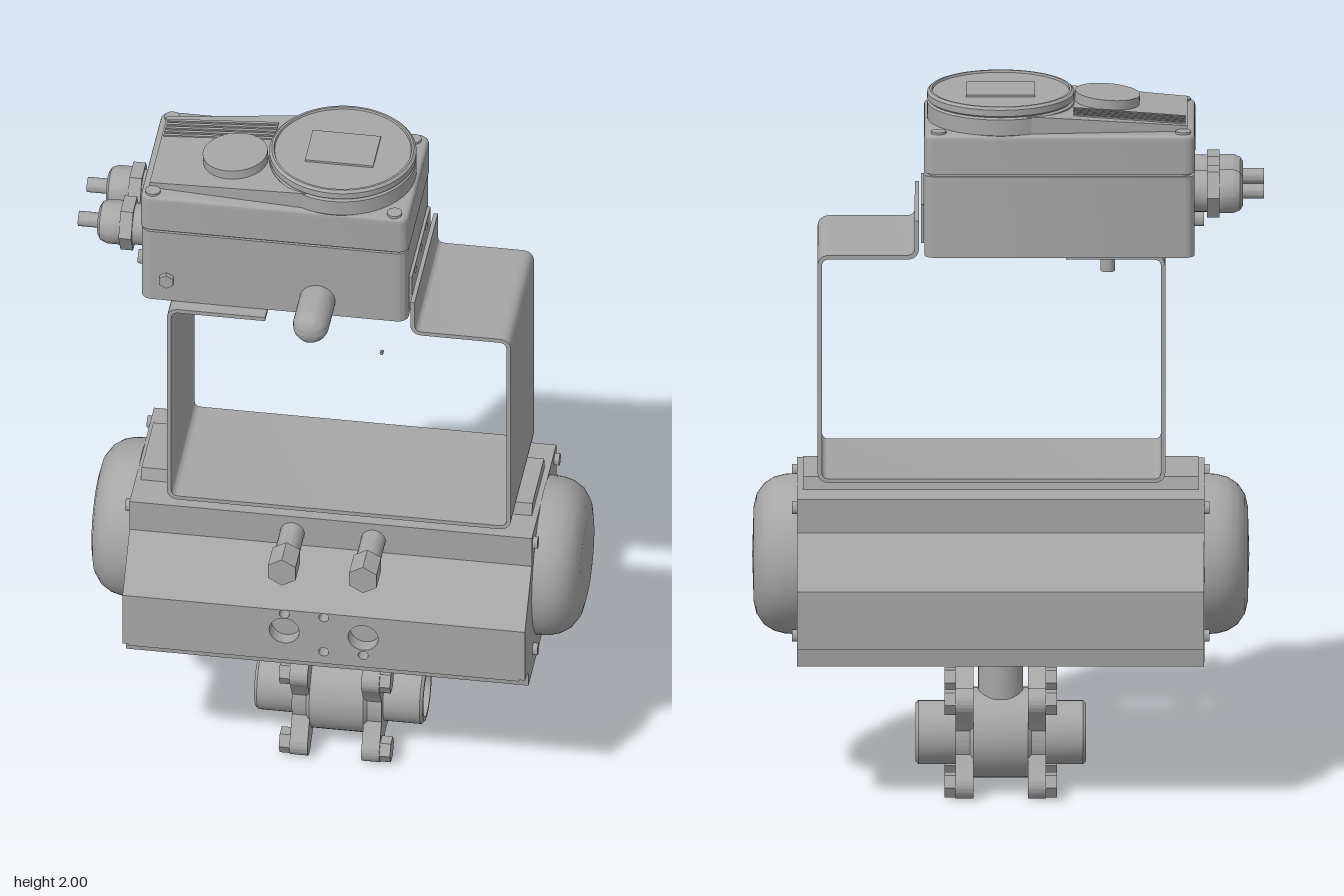
import * as THREE from 'three';
import { toCreasedNormals } from 'three/addons/utils/BufferGeometryUtils.js';

export function createModel() {
  const grey = new THREE.MeshStandardMaterial({ color: 0xa6a6a6 });
  grey.name = 'metal grey';
  const model = new THREE.Group();
  model.name = 'valveAssembly';
  // the whole assembly is turned slightly about its stem
  const rig = new THREE.Group();
  rig.name = 'assembly';
  rig.position.set(0.02, 0, -0.033);
  rig.rotation.y = -0.117;
  model.add(rig);

  const add = (name, geo, x = 0, y = 0, z = 0) => {
    const m = new THREE.Mesh(toCreasedNormals(geo, 0.6), grey);
    m.name = name;
    m.position.set(x, y, z);
    rig.add(m);
    return m;
  };
  const box = (name, w, h, d, x, y, z) => add(name, new THREE.BoxGeometry(w, h, d), x, y, z);
  // cylinder running from a to b along one axis
  const rod = (name, axis, a, b, r, p, q, seg = 32) => {
    const g = new THREE.CylinderGeometry(r, r, b - a, seg);
    const c = (a + b) / 2;
    if (axis === 'x') return add(name, g.rotateZ(-Math.PI / 2), c, p, q);
    if (axis === 'z') return add(name, g.rotateX(Math.PI / 2), p, q, c);
    return add(name, g, p, c, q);
  };
  const lathe = (pts, seg = 48) => new THREE.LatheGeometry(pts.map(p => new THREE.Vector2(...p)), seg);
  const poly = pts => new THREE.Shape(pts.map(p => new THREE.Vector2(...p)));
  const extrude = (shape, depth, extra) =>
    new THREE.ExtrudeGeometry(shape, { depth, bevelEnabled: false, curveSegments: 20, ...extra });
  const hole = (shape, x, y, r) => shape.holes.push(new THREE.Path().absarc(x, y, r, 0, Math.PI * 2, true));
  // [z, y] outline swept along x
  const sweepX = (name, pts, a, b) =>
    add(name, extrude(poly(pts.map(([z, y]) => [-z, y])), b - a).rotateY(Math.PI / 2), a);

  // ---------- actuator ----------
  const back = [[-0.22, 0.885], [-0.22, 0.79], [-0.345, 0.655], [-0.345, 0.49], [-0.285, 0.475], [-0.28, 0.425]];
  const ridge = [[0.115, 0.885], [0.105, 0.92], [-0.105, 0.92], [-0.115, 0.885]];
  sweepX('actuatorBody', [[0.28, 0.425], [0.285, 0.475], [0.305, 0.49], [0.305, 0.655], [0.345, 0.655],
    [0.22, 0.79], [0.22, 0.885], ...ridge, ...back], -0.545, 0.545);
  // drilled front face
  const face = poly([[-0.545, 0.485], [0.545, 0.485], [0.545, 0.655], [-0.545, 0.655]]);
  for (const s of [-1, 1]) hole(face, s * 0.11, 0.585, 0.042);
  for (const [x, y] of [[-0.11, 0.642], [0, 0.642], [0, 0.525], [0.11, 0.525]]) hole(face, x, y, 0.014);
  add('portFace', extrude(face, 0.04), 0, 0, 0.305);

  const capProfile = [[0, 0], [0.222, 0], [0.22, 0.035], [0.212, 0.065], [0.195, 0.092], [0.165, 0.113], [0.13, 0.121], [0, 0.125]];
  const plate = [...back.map(([z, y]) => [-z, y]).reverse(), ...back];
  for (const s of [-1, 1]) {
    sweepX('endPlate', plate, s > 0 ? 0.545 : -0.561, s > 0 ? 0.561 : -0.545);
    add('endCap', lathe(capProfile, 64).rotateZ(-s * Math.PI / 2), s * 0.56, 0.67);
    for (const z of [-0.195, 0.195]) for (const y of [0.49, 0.855])
      rod('endScrew', 'x', s > 0 ? 0.55 : -0.575, s > 0 ? 0.575 : -0.55, 0.017, y, z, 16);
    // front fittings with hex heads
    rod('fittingShank', 'z', 0.2, 0.33, 0.034, s * 0.113 + 0.006, 0.83, 24);
    rod('fittingHead', 'z', 0.325, 0.408, 0.044, s * 0.113 + 0.006, 0.83, 6);
  }

  // ---------- ball valve ----------
  rod('mountFlange', 'y', 0.4, 0.426, 0.11, 0, 0, 48);
  rod('valveStem', 'y', 0.27, 0.4, 0.062, 0, 0);
  add('valveBody', lathe([[0.068, -0.235], [0.08, -0.235], [0.088, -0.227], [0.088, -0.125], [0.115, -0.115],
    [0.115, -0.085], [0.125, -0.075], [0.125, 0.075], [0.115, 0.085], [0.115, 0.115], [0.088, 0.125],
    [0.088, 0.227], [0.08, 0.235], [0.068, 0.235], [0.068, -0.235]]).rotateZ(-Math.PI / 2), 0, 0.16);
  // four-eared flange outline
  const ears = new THREE.Shape();
  for (let i = 0; i < 4; i++) {
    const a = Math.PI / 4 + i * Math.PI / 2;
    ears.absarc(Math.cos(a) * 0.167, Math.sin(a) * 0.167, 0.038, a - Math.PI / 2, a + Math.PI / 2, false);
    const v = a + Math.PI / 4;
    ears.absarc(0, 0, 0.115, v - 0.3, v + 0.3, false);
  }
  hole(ears, 0, 0, 0.08);
  for (const s of [-1, 1]) {
    add('valveFlange', extrude(ears, 0.05).rotateY(Math.PI / 2), s * 0.1 - 0.025, 0.16);
    for (const y of [0.042, 0.278]) for (const z of [-0.118, 0.118])
      rod('flangeBolt', 'x', s > 0 ? 0.12 : -0.155, s > 0 ? 0.155 : -0.12, 0.036, y, z, 6);
  }

  // ---------- bent bracket ----------
  const corners = [[0.231, 1.67], [0.231, 1.566], [0.499, 1.566], [0.499, 0.927], [-0.448, 0.927], [-0.448, 1.566], [-0.18, 1.566]]
    .map(p => new THREE.Vector2(...p));
  const line = [corners[0]];
  for (let i = 1; i < corners.length - 1; i++) {
    const c = corners[i];
    const toward = q => c.clone().add(q.clone().sub(c).setLength(0.028));
    line.push(...new THREE.QuadraticBezierCurve(toward(corners[i - 1]), c, toward(corners[i + 1])).getPoints(6));
  }
  line.push(corners[corners.length - 1]);
  const offset = d => line.map((p, i) => {
    const t = line[Math.min(i + 1, line.length - 1)].clone().sub(line[Math.max(i - 1, 0)]).normalize();
    return new THREE.Vector2(p.x - t.y * d, p.y + t.x * d);
  });
  add('bracket', extrude(new THREE.Shape([...offset(0.006), ...offset(-0.006).reverse()]), 0.418), 0, 0, -0.18);

  // ---------- positioner housing ----------
  const roundRect = (x0, x1, y0, y1, r) => {
    const s = new THREE.Shape();
    s.absarc(x1 - r, y1 - r, r, 0, Math.PI / 2);
    s.absarc(x0 + r, y1 - r, r, Math.PI / 2, Math.PI);
    s.absarc(x0 + r, y0 + r, r, Math.PI, Math.PI * 1.5);
    s.absarc(x1 - r, y0 + r, r, Math.PI * 1.5, Math.PI * 2);
    return s;
  };
  const slab = (name, inset, y0, y1, extra) => add(name, extrude(
    roundRect(-0.536 + inset, 0.212 - inset, -0.202 + inset, 0.208 - inset, 0.03), y1 - y0, extra
  ).rotateX(-Math.PI / 2), 0, y0);
  slab('housingBase', 0.002, 1.572, 1.803);
  slab('housingSeam', 0.01, 1.8, 1.815);
  slab('housingLid', 0, 1.811, 1.905);
  slab('lidBevel', 0, 1.905, 1.906, { bevelEnabled: true, bevelThickness: 0.014, bevelSize: 0.014, bevelOffset: -0.014, bevelSegments: 3 });
  for (const x of [-0.503, 0.171]) for (const z of [-0.173, 0.173])
    rod('lidScrew', 'y', 1.9, 1.926, 0.021, x, z, 20);

  // sloping raised cover, widening towards the dial
  const cover = extrude(poly([[-0.515, 1.91], [0, 1.91], [0, 1.975], [-0.515, 1.936]]), 2);
  const cp = cover.attributes.position;
  for (let i = 0; i < cp.count; i++)
    cp.setZ(i, (cp.getZ(i) - 1) * (0.19 + cp.getX(i) * 0.07));
  cover.computeVertexNormals();
  add('slopedCover', cover);
  for (let i = 0; i < 5; i++)
    box('coverRib', 0.31, 0.008, 0.009, -0.355, 1.948, -0.135 + i * 0.017).rotation.z = 0.0756;
  rod('smallKnob', 'y', 1.935, 1.98, 0.09, -0.293, 0.037, 40).rotation.z = 0.0756;

  // dial with window
  add('dial', lathe([[0, 1.912], [0.195, 1.912], [0.203, 1.92], [0.203, 1.965], [0.197, 1.97], [0.203, 1.975], [0.203, 1.993],
    [0.196, 2], [0.19, 2], [0.188, 1.994], [0, 1.994]], 64));
  box('dialWindow', 0.19, 0.008, 0.14, 0, 1.996, 0);

  // cable glands: hex collar, hex nut and cable stub
  for (const z of [-0.086, 0.073]) {
    rod('glandCollar', 'x', -0.57, -0.53, 0.058, 1.73, z, 24);
    rod('glandHex', 'x', -0.603, -0.568, 0.075, 1.73, z, 6);
    add('glandNut', lathe([[0, 0], [0.062, 0], [0.062, 0.04], [0.054, 0.058], [0.04, 0.066], [0, 0.066]], 12)
      .rotateZ(Math.PI / 2), -0.602, 1.73, z);
    rod('cableStub', 'x', -0.725, -0.66, 0.021, 1.73, z, 20);
  }
  rod('sidePlug', 'x', -0.56, -0.53, 0.02, 1.61, 0.06, 16);
  rod('groundScrew', 'z', 0.19, 0.215, 0.022, -0.46, 1.645, 6);

  // round-nosed front vent
  add('frontVent', lathe([[0, 0], [0.05, 0], [0.05, 0.12], [0.046, 0.137], [0.036, 0.153], [0.02, 0.162], [0, 0.165]], 32)
    .rotateX(Math.PI / 2), -0.04, 1.62, 0.197);

  // slotted side plate
  const slots = poly([[-0.165, 1.6], [0.165, 1.6], [0.165, 1.71], [-0.165, 1.71]]);
  for (const x of [-0.1, 0, 0.1]) hole(slots, x, 1.69, 0.011);
  add('sidePlate', extrude(slots, 0.009).rotateY(Math.PI / 2), 0.211, 0, 0.01);

  // underside feedback shaft and screws
  rod('feedbackShaft', 'y', 1.48, 1.574, 0.02, -0.295, 0, 20);
  rod('shaftWasher', 'y', 1.541, 1.548, 0.052, -0.295, 0, 24);
  for (const [x, z] of [[-0.1, -0.12], [0.08, -0.12], [0.08, 0.1], [-0.1, 0.1], [0, -0.06]])
    rod('baseScrew', 'y', 1.568, 1.574, 0.016, x, z, 12);
  // small free-standing pin in front
  rod('frontPin', 'z', 0.442, 0.454, 0.005, 0.178, 1.647, 8);

  return model;
}
